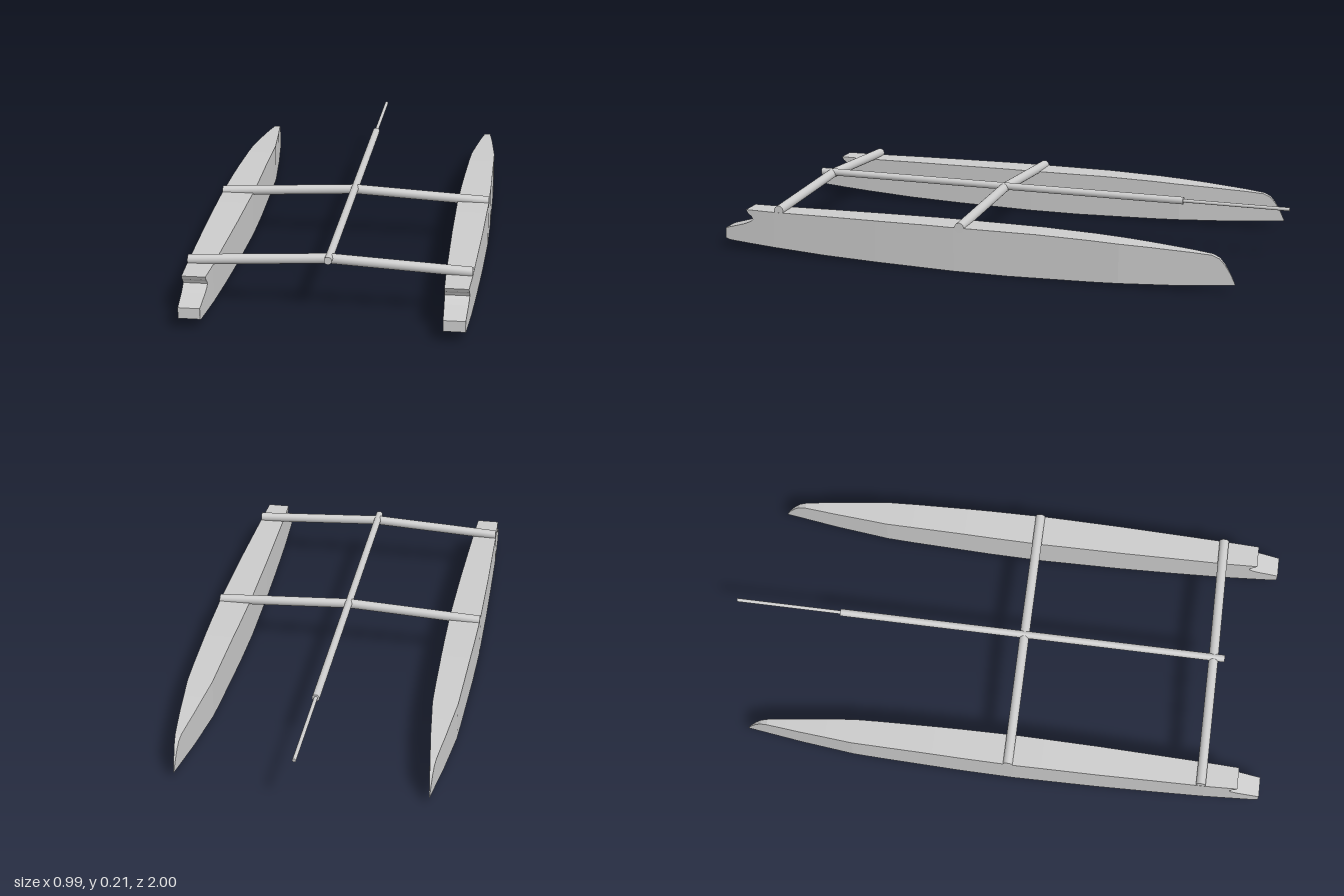
import * as THREE from 'three';

const material = new THREE.MeshStandardMaterial({ color: 0xcccccc });
const hullMaterial = new THREE.MeshStandardMaterial({ color: 0xcccccc, flatShading: true });

// Piecewise-linear lookup in a list of [z, value], z falling
function lookup(table, z) {
  for (let i = 1; i < table.length; i++) {
    const [z0, v0] = table[i - 1], [z1, v1] = table[i];
    if (z >= z1) return v0 + (v1 - v0) * (z0 - z) / (z0 - z1);
  }
  return table[table.length - 1][1];
}

// Hull half width, deck height and keel height along z
const WIDTH = [[1, 0.037], [0.8, 0.045], [0.4, 0.054], [0.1, 0.0575], [-0.1, 0.055],
  [-0.4, 0.048], [-0.5, 0.045], [-0.7, 0.025], [-0.9, 0.001]];
const DECK = [[1, 0.153], [0.8, 0.153], [0.6, 0.156], [0.2, 0.16], [-0.2, 0.16], [-0.4, 0.155],
  [-0.6, 0.146], [-0.75, 0.137], [-0.82, 0.131], [-0.845, 0.12], [-0.865, 0.098], [-0.885, 0.065], [-0.9, 0.033]];
const KEEL = [[1, 0.033], [0.8, 0.02], [0.6, 0.01], [0.4, 0.005], [0.1, 0], [-0.1, 0],
  [-0.4, 0.006], [-0.7, 0.016], [-0.9, 0.028]];
const STERN = 0.8;

// Box-section loft from the stern joint to the bow
function hullBody() {
  const stations = [...new Set([...WIDTH, ...DECK, ...KEEL].map(p => p[0]))]
    .filter(z => z <= STERN).sort((a, b) => b - a);
  const rings = stations.map(z => {
    const w = lookup(WIDTH, z), top = lookup(DECK, z), low = lookup(KEEL, z);
    return [[-w, low, z], [w, low, z], [w, top, z], [-w, top, z]];
  });
  const pos = [];
  const quad = (a, b, c, d) => pos.push(...a, ...b, ...c, ...a, ...c, ...d);
  for (let i = 1; i < rings.length; i++) {
    for (let k = 0; k < 4; k++) {
      const n = (k + 1) % 4;
      quad(rings[i - 1][n], rings[i - 1][k], rings[i][k], rings[i][n]);
    }
  }
  const [a, b, c, d] = rings[rings.length - 1];
  quad(b, a, d, c);
  const geo = new THREE.BufferGeometry();
  geo.setAttribute('position', new THREE.Float32BufferAttribute(pos, 3));
  geo.computeVertexNormals();
  return geo;
}

// Notched stern: side profile extruded, then tapered in plan
function hullStern() {
  const profile = [[STERN, 0.02], [0.9, 0.026], [0.985, 0.032], [1, 0.038], [1, 0.076],
    [0.92, 0.099], [0.895, 0.11], [0.886, 0.119], [0.891, 0.129], [0.906, 0.14], [0.913, 0.153], [STERN, 0.153]];
  const shape = new THREE.Shape(profile.map(([z, y]) => new THREE.Vector2(z, y)));
  const geo = new THREE.ExtrudeGeometry(shape, { depth: 1, bevelEnabled: false });
  geo.translate(0, 0, -0.5).rotateY(-Math.PI / 2);
  const p = geo.attributes.position;
  for (let i = 0; i < p.count; i++) p.setX(i, Math.sign(p.getX(i)) * lookup(WIDTH, p.getZ(i)));
  geo.computeVertexNormals();
  return geo;
}

// Round crossbeam, raised in the middle
function beamGeometry(half) {
  const geo = new THREE.CylinderGeometry(0.0175, 0.0175, half * 2, 24, 2).rotateZ(Math.PI / 2);
  const p = geo.attributes.position;
  for (let i = 0; i < p.count; i++) p.setY(i, p.getY(i) + 0.187 - 0.026 * Math.abs(p.getX(i)) / half);
  return geo;
}

// Straight pole along z
function poleGeometry(radius, z0, z1) {
  return new THREE.CylinderGeometry(radius, radius, z1 - z0, 24)
    .rotateX(Math.PI / 2).translate(0, 0.193, (z0 + z1) / 2);
}

export function createModel() {
  const model = new THREE.Group();
  model.name = 'catamaranFrame';
  const add = (parent, name, geo, mat = material) => {
    const mesh = new THREE.Mesh(geo, mat);
    mesh.name = name;
    parent.add(mesh);
    return mesh;
  };

  // Two hulls
  const body = hullBody(), stern = hullStern();
  for (const [name, side] of [['leftHull', 1], ['rightHull', -1]]) {
    const hull = new THREE.Group();
    hull.name = name;
    hull.position.x = side * 0.4375;
    add(hull, name + 'Body', body, hullMaterial);
    add(hull, name + 'Stern', stern, hullMaterial);
    model.add(hull);
  }

  // Crossbeams
  add(model, 'sternBeam', beamGeometry(0.482)).position.z = 0.78;
  add(model, 'middleBeam', beamGeometry(0.495)).position.z = 0.078;

  // Central spar and its thin forward pole
  add(model, 'centreSpar', poleGeometry(0.0135, -0.61, 0.82));
  add(model, 'bowPole', poleGeometry(0.0065, -1, -0.6));
  return model;
}
